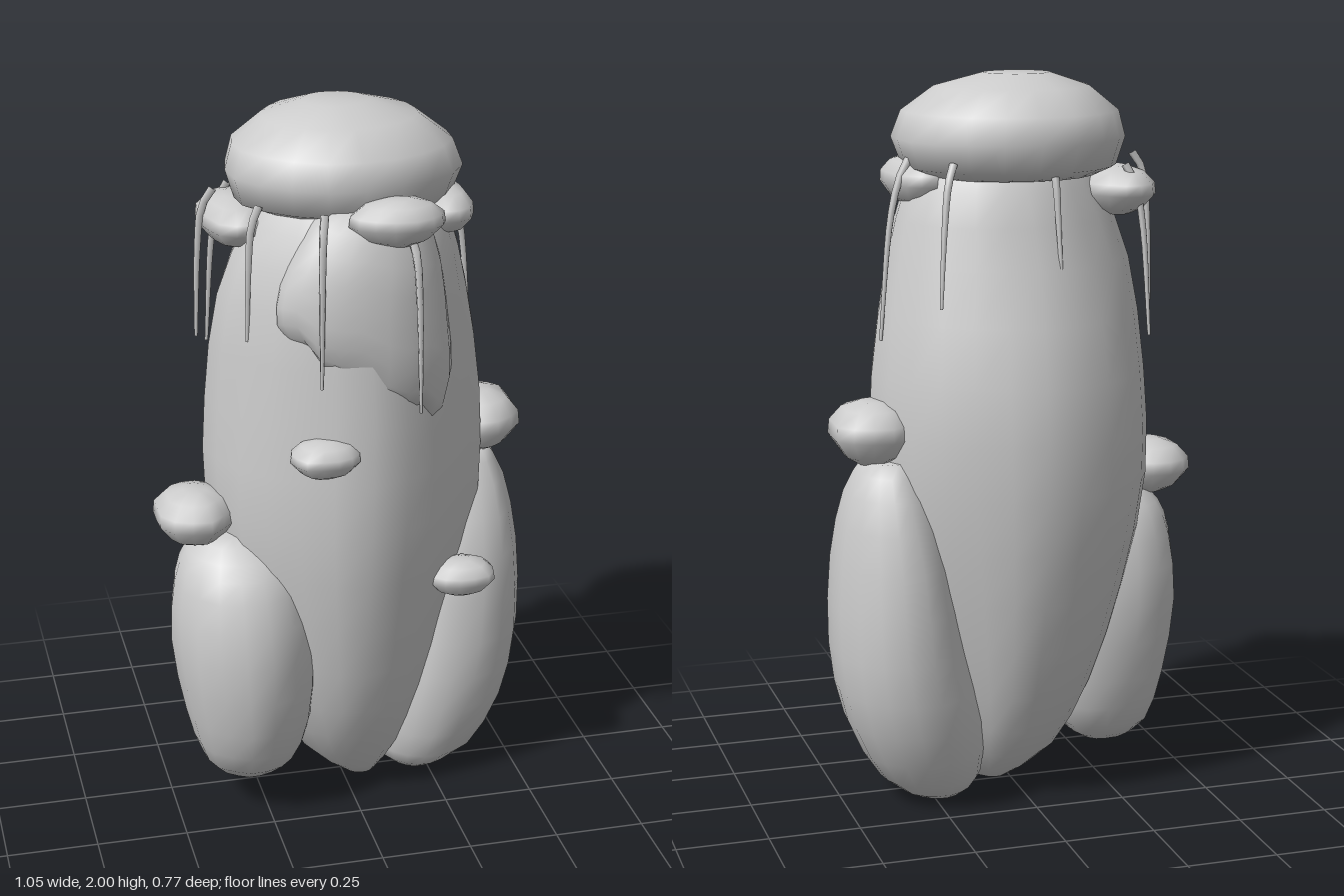
import * as THREE from 'three';

const stone = new THREE.MeshStandardMaterial({ color: 0xcccccc });
stone.name = 'pale stone';

// Closed lumpy form lofted through rings of [y, centre x, centre z, radius x, radius z], bottom to top.
// tilt lowers the +x side of the bottom edge, jag makes that edge ragged,
// pinch pulls in the diagonals (negative makes the section squarer).
function loft(name, rings, { seg = 18, lump = 0.04, seed = 0, sub = 2, jag = 0, tilt = 0, pinch = 0 } = {}) {
  const rows = [];
  const curve = rings[0].map((_, k) => rings.map(r => r[k]));
  const n = (rings.length - 1) * sub;
  for (let i = 0; i <= n; i++) {
    const t = i / sub, a = Math.min(Math.floor(t), rings.length - 2), f = t - a;
    rows.push(curve.map(c => {
      const p = c[Math.max(a - 1, 0)], q = c[a], r = c[a + 1], s = c[Math.min(a + 2, c.length - 1)];
      return q + 0.5 * f * (r - p + f * (2 * p - 5 * q + 4 * r - s + f * (3 * (q - r) + s - p)));
    }));
  }
  const pos = [], idx = [];
  rows.forEach(([y, cx, cz, rx, rz], i) => {
    for (let j = 0; j < seg; j++) {
      const a = j / seg * Math.PI * 2;
      const k = 1 + lump * (0.5 * Math.sin(3 * a + seed + y * 1.5) + 0.5 * Math.sin(5 * a + seed * 2.3 - y * 2)
        + 0.4 * Math.sin(8 * a + seed * 4.1 + i * 0.4)) + pinch * (Math.cos(4 * a) - 1);
      const drop = (1 - i / n) * (jag * Math.sin(7 * a + seed) - tilt * Math.cos(a));
      pos.push(cx + Math.cos(a) * rx * k, y + drop, cz + Math.sin(a) * rz * k);
    }
  });
  for (let i = 0; i < n; i++) for (let j = 0; j < seg; j++) {
    const a = i * seg + j, b = i * seg + (j + 1) % seg;
    idx.push(a, a + seg, b, b, a + seg, b + seg);
  }
  // End fans
  [0, n].forEach(i => {
    const c = pos.length / 3, [y, cx, cz] = rows[i];
    pos.push(cx, y, cz);
    for (let j = 0; j < seg; j++) {
      const a = i * seg + j, b = i * seg + (j + 1) % seg;
      i === 0 ? idx.push(c, a, b) : idx.push(c, b, a);
    }
  });
  const g = new THREE.BufferGeometry();
  g.setAttribute('position', new THREE.Float32BufferAttribute(pos, 3));
  g.setIndex(idx);
  g.computeVertexNormals();
  const mesh = new THREE.Mesh(g, stone);
  mesh.name = name;
  return mesh;
}

// Small flattened moss cushion: centre and half sizes
function cushion(name, x, y, z, rx, ry, rz, seed) {
  const rings = [[-1, 0.35], [-0.7, 0.7], [-0.1, 1], [0.35, 0.97], [0.8, 0.7], [1, 0.3]]
    .map(([h, r]) => [y + h * ry, x, z, r * rx, r * rz]);
  return loft(name, rings, { seg: 14, lump: 0.06, seed, sub: 1 });
}

// Thin tapering vine, arching out from under the cap and hanging down
function vine(x, z, top, bottom, flare) {
  const path = new THREE.CatmullRomCurve3([
    [x * 0.9, top + 0.02, z * 0.9], [x * 0.98, top - 0.03, z * 0.98],
    [x * (1 + flare * 0.4), top - 0.14, z * (1 + flare * 0.4)], [x * (1 + flare), bottom, z * (1 + flare)]
  ].map(p => new THREE.Vector3(...p)));
  const g = new THREE.TubeGeometry(path, 10, 0.012, 5, false);
  const p = g.attributes.position, v = new THREE.Vector3();
  for (let i = 0; i < p.count; i++) {
    const t = Math.floor(i / 6) / 10, c = path.getPointAt(t);
    v.fromBufferAttribute(p, i).sub(c).multiplyScalar(1 - 0.6 * t).add(c);
    p.setXYZ(i, v.x, v.y, v.z);
  }
  const mesh = new THREE.Mesh(g, stone);
  mesh.name = 'vine';
  return mesh;
}

export function createModel() {
  const group = new THREE.Group();
  group.name = 'rockPillar';

  group.add(
    loft('mainPillar', [
      [0.02, 0.05, 0.02, 0.05, 0.05],
      [0.12, 0.025, 0.0, 0.15, 0.15],
      [0.32, 0.01, -0.005, 0.24, 0.255],
      [0.6, 0.005, -0.015, 0.325, 0.325],
      [0.9, 0.005, -0.02, 0.385, 0.362],
      [1.2, 0.01, -0.02, 0.382, 0.352],
      [1.5, 0.005, 0.01, 0.34, 0.3],
      [1.7, 0.02, 0.02, 0.272, 0.255],
      [1.8, 0.02, 0.02, 0.205, 0.19]
    ], { seg: 24, seed: 1, lump: 0.025, pinch: 0.025 }),
    loft('frontSlab', [
      [1.31, 0.02, 0.215, 0.2, 0.1],
      [1.4, 0.015, 0.215, 0.235, 0.125],
      [1.52, 0.015, 0.21, 0.225, 0.13],
      [1.65, 0.03, 0.2, 0.19, 0.125],
      [1.77, 0.04, 0.18, 0.14, 0.1]
    ], { seg: 22, seed: 2, jag: 0.02, tilt: 0.12, lump: 0.02 }),
    loft('rightBoulder', [
      [0.09, -0.29, 0.06, 0.06, 0.07],
      [0.15, -0.285, 0.065, 0.13, 0.15],
      [0.3, -0.285, 0.075, 0.175, 0.21],
      [0.52, -0.295, 0.075, 0.198, 0.235],
      [0.7, -0.3, 0.07, 0.18, 0.2],
      [0.79, -0.305, 0.06, 0.14, 0.145],
      [0.84, -0.32, 0.05, 0.07, 0.08]
    ], { seed: 3, lump: 0.035, pinch: -0.03 }),
    loft('leftBoulder', [
      [0.005, 0.225, -0.03, 0.07, 0.08],
      [0.07, 0.25, -0.04, 0.145, 0.155],
      [0.24, 0.295, -0.055, 0.195, 0.215],
      [0.45, 0.335, -0.06, 0.193, 0.235],
      [0.7, 0.35, -0.06, 0.17, 0.215],
      [0.89, 0.365, -0.07, 0.12, 0.15],
      [0.98, 0.37, -0.07, 0.065, 0.085]
    ], { seed: 5, lump: 0.035 }),
    loft('topCap', [
      [1.73, 0.005, -0.02, 0.235, 0.205],
      [1.755, 0.005, -0.02, 0.29, 0.26],
      [1.83, 0.007, -0.02, 0.315, 0.29],
      [1.9, 0.003, -0.02, 0.292, 0.267],
      [1.965, 0, -0.022, 0.208, 0.188],
      [2.0, -0.01, -0.025, 0.09, 0.08]
    ], { seg: 20, seed: 4, lump: 0.02, sub: 1 })
  );

  // Moss cushions on the ledges
  [
    ['rimCushion', -0.275, 1.685, -0.065, 0.1, 0.065, 0.165],
    ['rimCushion', 0.085, 1.75, 0.275, 0.125, 0.06, 0.085],
    ['rimCushion', 0.255, 1.715, 0.045, 0.085, 0.065, 0.155],
    ['ledgeCushion', -0.115, 1.13, 0.31, 0.095, 0.05, 0.08],
    ['boulderCushion', -0.42, 0.885, 0.045, 0.114, 0.075, 0.13],
    ['boulderCushion', 0.405, 1.055, -0.06, 0.12, 0.085, 0.137],
    ['ledgeCushion', 0.295, 0.69, 0.2, 0.098, 0.05, 0.074]
  ].forEach((c, i) => group.add(cushion(...c, i * 1.7)));

  // Vines hanging round the cap: x, z, top, bottom, outward flare
  [
    [-0.375, -0.035, 1.76, 1.37, 0.04], [-0.275, 0.14, 1.75, 1.41, 0.04], [-0.12, 0.31, 1.76, 1.33, 0.06],
    [0.125, 0.33, 1.7, 1.25, 0.06], [0.325, -0.045, 1.76, 1.3, 0.16], [0.24, -0.23, 1.76, 1.41, 0.1],
    [-0.05, -0.25, 1.76, 1.5, 0.1], [-0.305, -0.17, 1.74, 1.3, 0.1]
  ].forEach(v => group.add(vine(...v)));

  return group;
}
